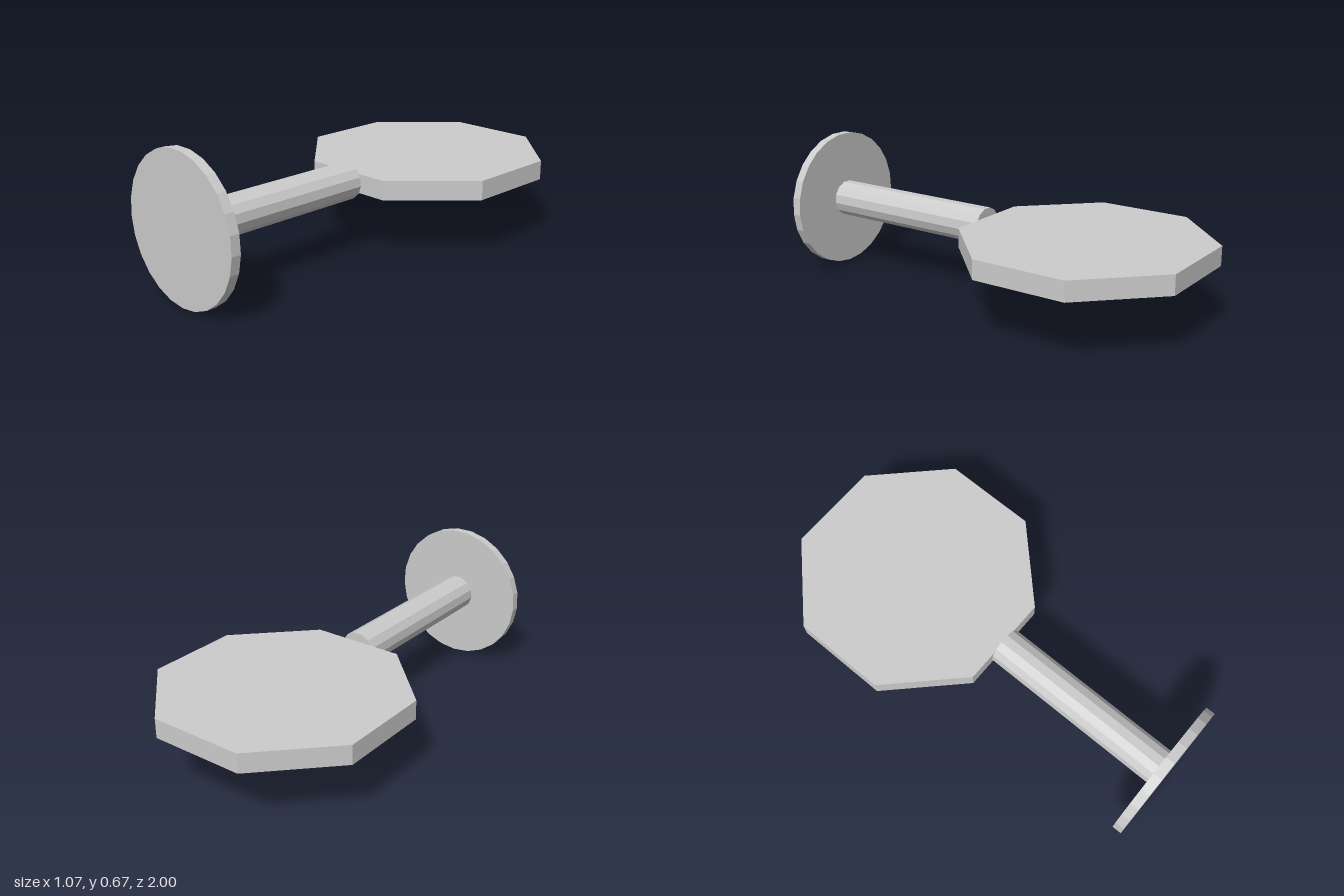
import * as THREE from 'three';

const AXIS_Y = 0.335;
const material = new THREE.MeshStandardMaterial({ color: 0xcccccc, flatShading: true });

// Faceted round bar lying along z, from z0 to z1
function barAlongZ(name, radius, sides, z0, z1) {
  const geometry = new THREE.CylinderGeometry(radius, radius, z1 - z0, sides);
  geometry.rotateX(Math.PI / 2);
  const mesh = new THREE.Mesh(geometry, material);
  mesh.name = name;
  mesh.position.set(0, AXIS_Y, (z0 + z1) / 2);
  return mesh;
}

export function createModel() {
  const group = new THREE.Group();
  group.name = 'knobWithOctagonalPlate';

  // Round flange at the front and the stem behind it
  group.add(barAlongZ('flange', 0.335, 25, 0.956, 1));
  group.add(barAlongZ('stem', 0.088, 13, 0.067, 0.956));

  // Flat octagonal plate, one side facing the stem
  const apothem = 0.533;
  const radius = apothem / Math.cos(Math.PI / 8);
  const plate = new THREE.Mesh(
    new THREE.CylinderGeometry(radius, radius, 0.09, 8, 1, false, Math.PI / 8),
    material
  );
  plate.name = 'octagonalPlate';
  plate.position.set(0, AXIS_Y, apothem - 1);
  group.add(plate);

  return group;
}
